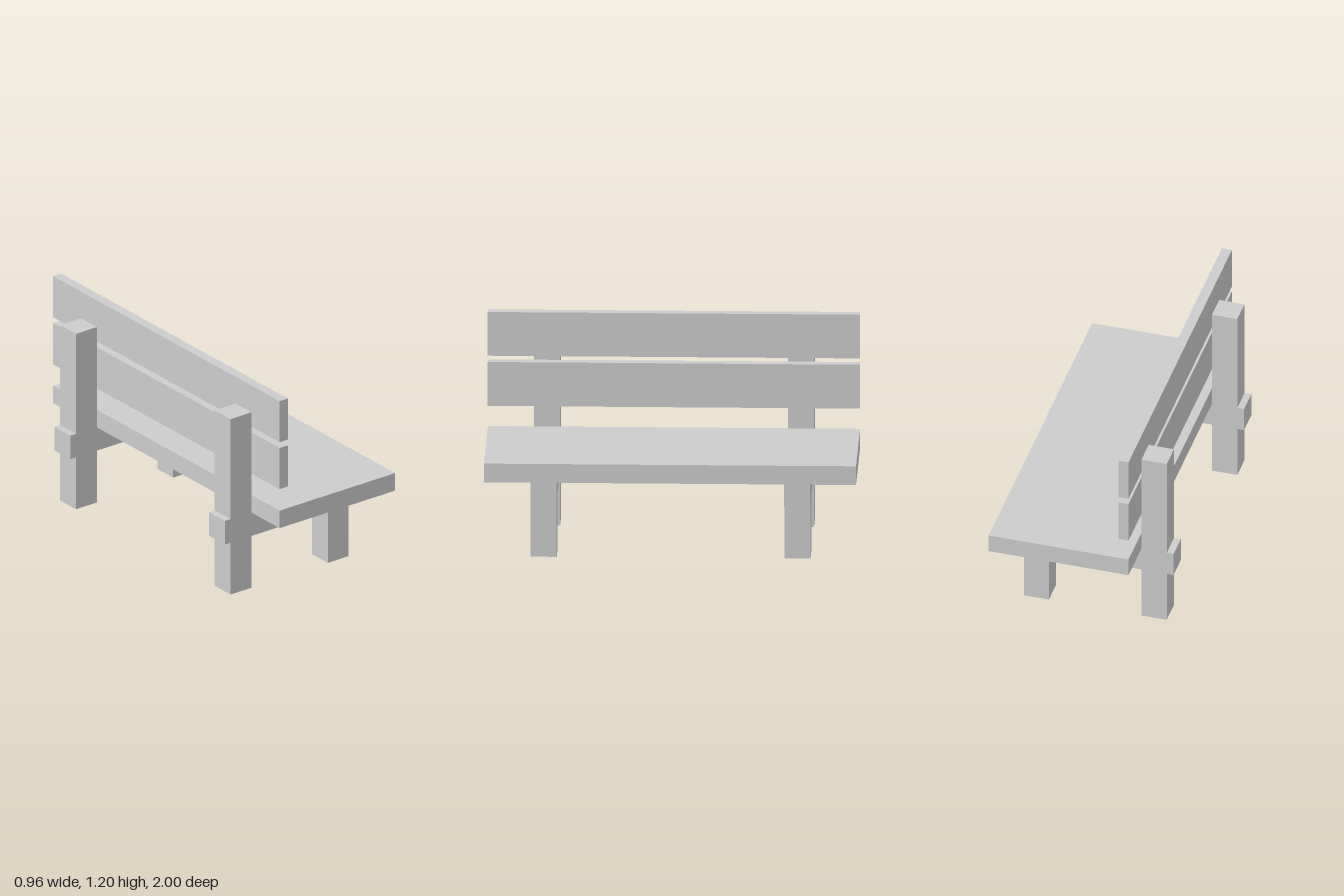
import * as THREE from 'three';

const material = new THREE.MeshStandardMaterial({ color: 0xcccccc, flatShading: true });

// Full-length plank along z, given its x and y extents
function plank(name, x0, x1, y0, y1) {
  const mesh = new THREE.Mesh(new THREE.BoxGeometry(x1 - x0, y1 - y0, 2), material);
  mesh.position.set((x0 + x1) / 2, (y0 + y1) / 2, 0);
  mesh.name = name;
  return mesh;
}

// Side frame outline: tall back post, cross rail and short front leg in one piece
function sideFrameGeometry(thickness) {
  const outline = [
    [-0.445, 0], [-0.303, 0], [-0.303, 0.307], [0.214, 0.307], [0.214, 0],
    [0.353, 0], [0.353, 0.307], [0.423, 0.307], [0.423, 0.445], [-0.303, 0.445],
    [-0.303, 1.04], [-0.445, 1.04], [-0.445, 0.447], [-0.483, 0.447],
    [-0.483, 0.307], [-0.445, 0.307],
  ].map(([x, y]) => new THREE.Vector2(x, y));
  const geometry = new THREE.ExtrudeGeometry(new THREE.Shape(outline), {
    depth: thickness, bevelEnabled: false,
  });
  return geometry.translate(0, 0, -thickness / 2);
}

export function createModel() {
  const bench = new THREE.Group();
  bench.name = 'bench';

  // Seat and the two back slats
  bench.add(
    plank('seat', -0.303, 0.479, 0.445, 0.549),
    plank('lowerBackSlat', -0.303, -0.247, 0.676, 0.92),
    plank('upperBackSlat', -0.303, -0.247, 0.955, 1.198),
  );

  // Matching supports near each end
  const frameGeometry = sideFrameGeometry(0.14);
  for (const side of [-1, 1]) {
    const frame = new THREE.Mesh(frameGeometry, material);
    frame.position.z = side * 0.682;
    frame.name = side < 0 ? 'rearEndFrame' : 'frontEndFrame';
    bench.add(frame);
  }

  return bench;
}
